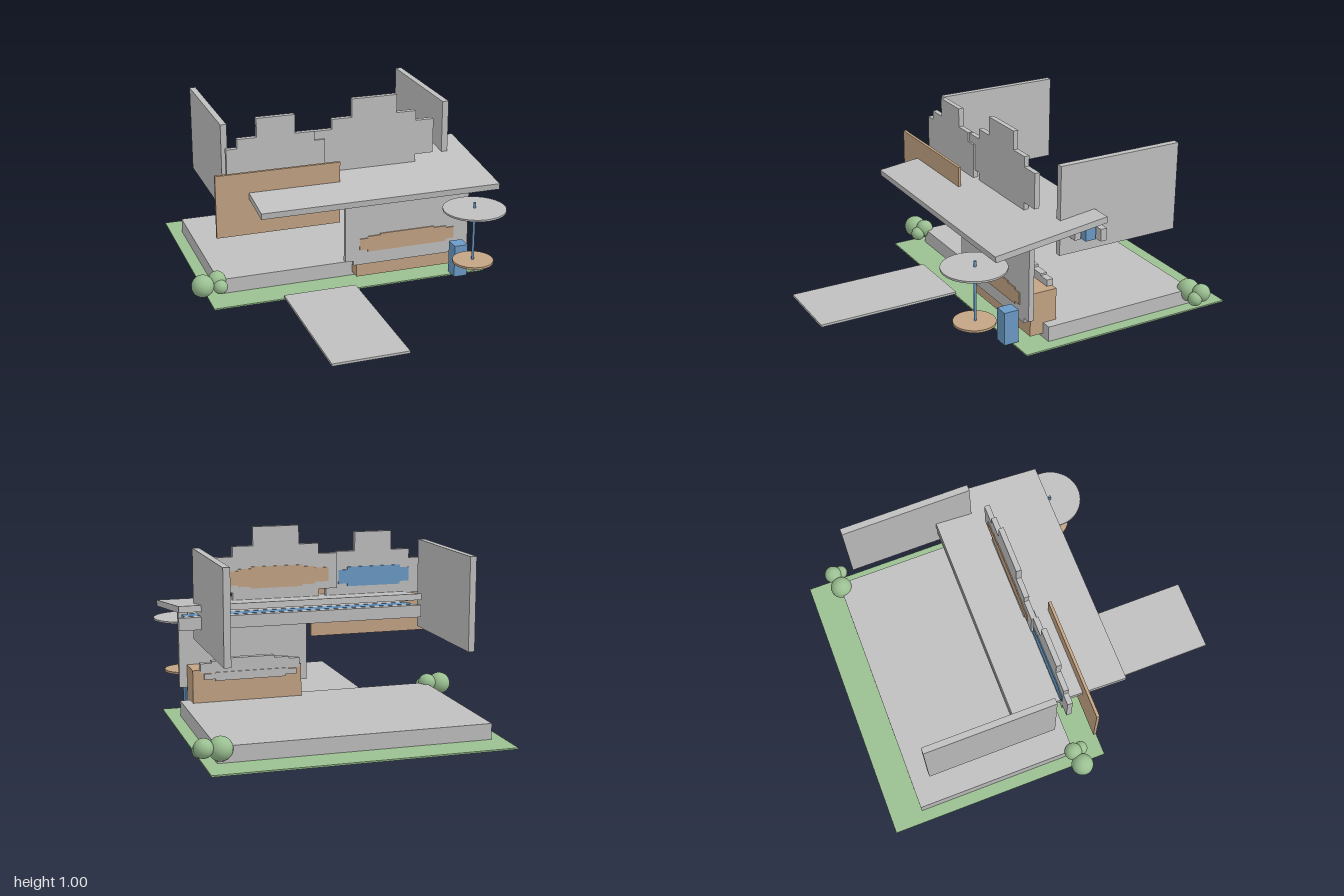
import * as THREE from 'three';

const material = (name, color) => {
  const m = new THREE.MeshStandardMaterial({ color });
  m.name = name;
  return m;
};

export function createModel() {
  const grey = material('light grey', 0xc0c0c0);
  const tan = material('tan', 0xc4a484);
  const blue = material('blue', 0x6c9bc6);
  const green = material('leaf green', 0x9bc092);

  const group = new THREE.Group();
  const add = (name, geometry, mat) => {
    const mesh = new THREE.Mesh(geometry, mat);
    mesh.name = name;
    group.add(mesh);
    return mesh;
  };

  // Box given by its limits on each axis
  const block = (name, mat, x0, x1, y0, y1, z0, z1) => {
    const mesh = add(name, new THREE.BoxGeometry(x1 - x0, y1 - y0, z1 - z0), mat);
    mesh.position.set((x0 + x1) / 2, (y0 + y1) / 2, (z0 + z1) / 2);
    return mesh;
  };

  // Stepped panel, mirrored about x = cx; steps run outside in: [halfWidth, bottom, top]
  const stepped = (name, mat, cx, steps, z0, z1) => {
    const half = (k) => {
      const pts = [];
      steps.forEach(([w, ...ys], i) => {
        const inner = i + 1 < steps.length ? steps[i + 1][0] : 0;
        pts.push([-w, ys[k]], [-inner, ys[k]]);
      });
      return [...pts, ...pts.map(([x, y]) => [-x, y]).reverse()];
    };
    const outline = [...half(0), ...half(1).reverse()]
      .filter(([x]) => x !== 0)
      .map(([x, y]) => new THREE.Vector2(cx + x, y));
    const geometry = new THREE.ExtrudeGeometry(new THREE.Shape(outline), {
      depth: z1 - z0, bevelEnabled: false,
    });
    add(name, geometry, mat).position.z = z0;
  };

  const disc = (name, mat, radius, x, y0, y1, z, sides = 48) => {
    add(name, new THREE.CylinderGeometry(radius, radius, y1 - y0, sides), mat)
      .position.set(x, (y0 + y1) / 2, z);
  };

  // Site
  block('lawn', green, -0.745, 0.775, 0, 0.008, -1, 0.22);
  block('foundation', grey, -0.68, 0.71, 0.008, 0.09, -0.83, 0.055);
  block('path', grey, -0.37, 0.028, 0.015, 0.028, 0.22, 1);

  // Side walls
  block('rightWall', grey, -0.62, -0.587, 0.437, 0.913, -0.735, -0.037);
  block('leftWall', grey, 0.615, 0.65, 0.437, 0.913, -0.735, -0.037);

  // Sloping roof
  const roof = add('roof', new THREE.BoxGeometry(1.295, 0.033, 0.635), grey);
  roof.position.set(0.117, 0.597, 0.076);
  roof.rotation.x = 0.118;

  // Staggered rails under the back of the roof
  block('rearRail', grey, -0.53, 0.765, 0.525, 0.59, -0.237, -0.202);
  block('lightBar', blue, -0.495, 0.73, 0.525, 0.59, -0.195, -0.137);
  block('frontRail', grey, -0.46, 0.695, 0.525, 0.59, -0.13, -0.095);

  // Board on the front
  block('frontBoard', tan, -0.705, -0.04, 0.375, 0.712, 0.148, 0.164);

  // Stepped parapets and their painted backs
  stepped('largeParapet', grey, 0.193,
    [[0.337, 0.66, 0.85], [0.235, 0.61, 0.905], [0.125, 0.51, 1.005]], 0.012, 0.04);
  stepped('largeParapetPanel', tan, 0.19,
    [[0.285, 0.7, 0.775], [0.21, 0.69, 0.785], [0.14, 0.68, 0.795]], 0.007, 0.012);
  stepped('smallParapet', grey, -0.35,
    [[0.265, 0.615, 0.805], [0.207, 0.565, 0.855], [0.103, 0.485, 0.957]], 0.022, 0.05);
  stepped('smallParapetPanel', blue, -0.355,
    [[0.2, 0.68, 0.755], [0.15, 0.665, 0.77]], 0.017, 0.022);

  // Front wall with its painted panel
  stepped('frontWall', grey, 0.343,
    [[0.353, 0.14, 0.56], [0.307, 0.115, 0.56]], 0.136, 0.165);
  stepped('frontWallPanel', tan, 0.34,
    [[0.27, 0.2, 0.265], [0.225, 0.187, 0.275], [0.155, 0.187, 0.283]], 0.165, 0.171);

  // Counter with a stepped rail on its back
  block('counter', tan, 0.065, 0.655, 0.03, 0.265, -0.02, 0.13);
  stepped('counterRail', grey, 0.345,
    [[0.27, 0.25, 0.3], [0.21, 0.235, 0.31], [0.13, 0.235, 0.322]], -0.024, 0.012);
  stepped('counterPanel', grey, 0.345,
    [[0.25, 0.215, 0.245], [0.19, 0.205, 0.25]], -0.03, -0.02);

  // Bin, table and parasol
  block('bin', blue, 0.575, 0.65, 0.015, 0.195, 0.195, 0.275);
  disc('tableTop', tan, 0.108, 0.612, 0.166, 0.178, 0.424);
  disc('parasolPole', blue, 0.007, 0.612, 0.17, 0.5, 0.42, 16);
  disc('parasol', grey, 0.166, 0.61, 0.46, 0.47, 0.424);

  // Shrubs: [x, y, z, radius]
  [
    [-0.77, 0.078, 0.075, 0.06], [-0.688, 0.092, 0.053, 0.048], [-0.68, 0.07, 0.1, 0.038],
    [0.692, 0.078, -0.825, 0.06], [0.778, 0.092, -0.845, 0.048], [0.785, 0.07, -0.8, 0.038],
  ].forEach(([x, y, z, r]) => {
    add('shrub', new THREE.SphereGeometry(r, 24, 16), green).position.set(x, y, z);
  });

  return group;
}
